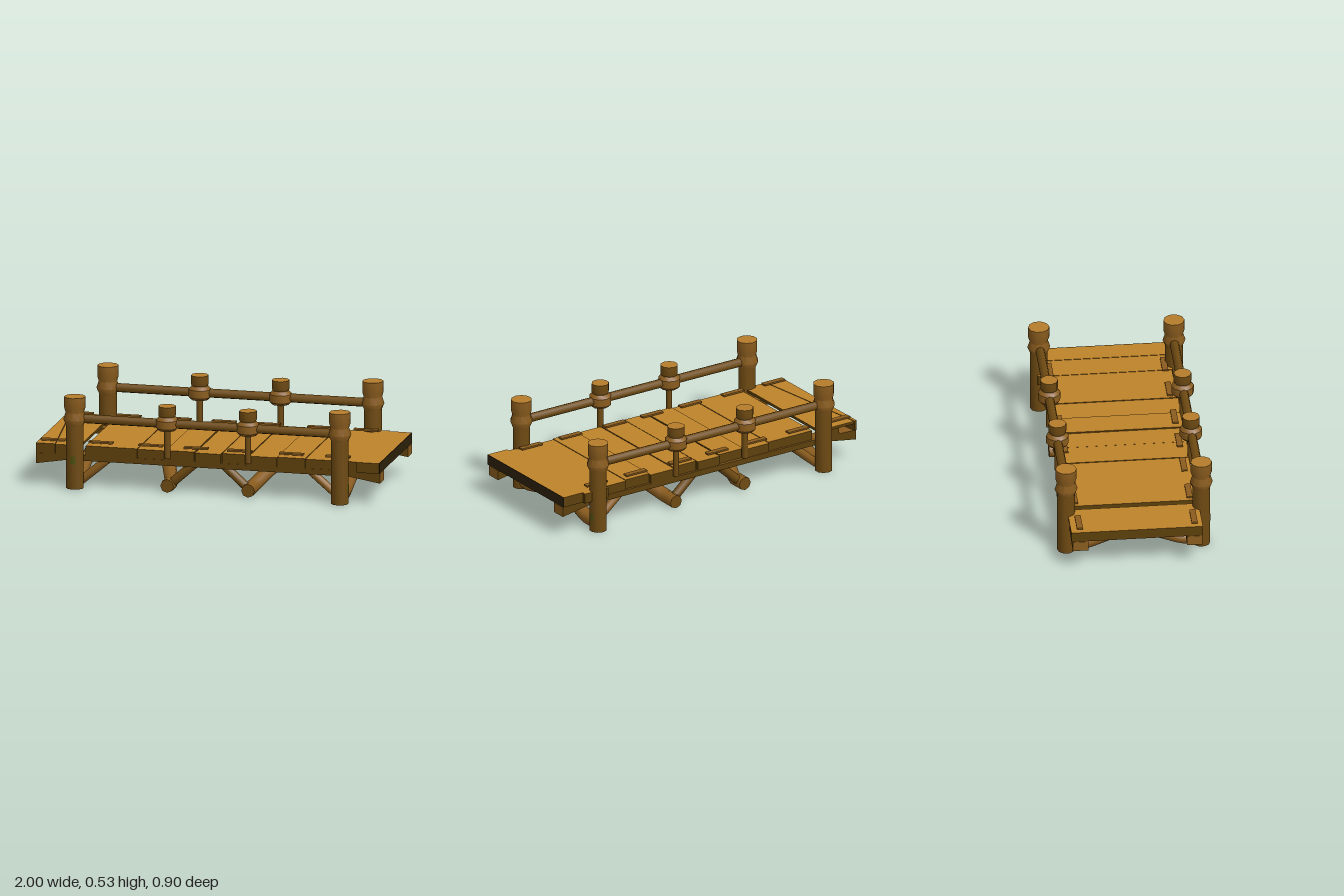
import * as THREE from 'three';
import { toCreasedNormals } from 'three/addons/utils/BufferGeometryUtils.js';

const paint = (name, color) => {
  const m = new THREE.MeshStandardMaterial({ color });
  m.name = name;
  return m;
};
const V = (x, y, z) => new THREE.Vector3(x, y, z);

export function createModel() {
  const root = new THREE.Group();
  root.name = 'woodenBridge';
  const plankTop = paint('plank top', 0xbe8329);
  const edge = paint('plank edge', 0x5e400c);
  const dark = paint('dark end grain', 0x2e210a);
  const bark = paint('bark', 0x6e4a12);
  const log = paint('log', 0x8a5c1e);
  const cut = paint('cut wood', 0xb67d2c);
  const moss = paint('moss', 0x50500e);

  const add = (name, geo, mat, x = 0, y = 0, z = 0) => {
    const m = new THREE.Mesh(geo, mat);
    m.name = name;
    m.position.set(x, y, z);
    root.add(m);
    return m;
  };
  // Straight round rod between two points
  const rod = (name, a, b, r, mat) => {
    const d = b.clone().sub(a);
    const g = toCreasedNormals(new THREE.CylinderGeometry(r, r, d.length(), 8), 0.9);
    const m = add(name, g, mat);
    m.position.copy(a).add(b).multiplyScalar(0.5);
    m.quaternion.setFromUnitVectors(V(0, 1, 0), d.normalize());
  };
  // Turned post section from [radius, height] pairs, closed by a cut-wood cap
  const turned = (name, profile, x, z, mat, capMat) => {
    const pts = profile.map(([r, y]) => new THREE.Vector2(r, y));
    add(name, toCreasedNormals(new THREE.LatheGeometry(pts, 10), 0.7), mat, x, 0, z);
    const [r, top] = profile[profile.length - 1];
    add(name + 'Cap', new THREE.CircleGeometry(r, 10).rotateX(-Math.PI / 2).rotateY(Math.PI / 2), capMat, x, top, z);
  };
  // Prism standing on a ground outline of [x, z] corners; top in the plank colour
  const slab = (name, outline, y, h) => {
    const s = new THREE.Shape(outline.map(([x, z]) => new THREE.Vector2(x, -z)));
    const g = new THREE.ExtrudeGeometry(s, { depth: h, bevelEnabled: false });
    add(name, g.rotateX(-Math.PI / 2), [plankTop, edge], 0, y, 0);
  };

  // Deck planks: x start, x end, z back, z front, top height
  const planks = [
    [-0.71, -0.412, -0.355, 0.37, 0.243], [-0.411, -0.246, -0.365, 0.365, 0.24],
    [-0.245, -0.08, -0.35, 0.37, 0.244], [-0.074, 0.074, -0.365, 0.375, 0.241],
    [0.081, 0.239, -0.355, 0.365, 0.245], [0.24, 0.4, -0.37, 0.37, 0.24],
    [0.401, 0.564, -0.355, 0.37, 0.244], [0.565, 0.704, -0.365, 0.365, 0.241],
    [0.705, 0.866, -0.395, 0.37, 0.243], [0.867, 0.996, -0.375, 0.385, 0.245],
  ];
  for (const [x0, x1, z0, z1, top] of planks) {
    const bottom = 0.185;
    const g = new THREE.BoxGeometry(x1 - x0, top - bottom, z1 - z0);
    add('plank', g, [edge, edge, plankTop, plankTop, edge, edge],
      (x0 + x1) / 2, (top + bottom) / 2, (z0 + z1) / 2);
  }
  add('darkPlankEnd', new THREE.BoxGeometry(0.004, 0.06, 0.76), dark, 0.998, 0.215, 0.005);

  // Split plank at the far end, thin on its inner side
  slab('splitPlankOuter', [[-1, 0.37], [-0.888, 0.37], [-0.985, -0.375], [-1, -0.375]], 0.185, 0.059);
  slab('splitPlankInner', [[-0.886, 0.37], [-0.745, 0.37], [-0.745, -0.375], [-0.983, -0.375]], 0.226, 0.016);

  // Boards under the deck
  for (const x of [-0.33, 0.48])
    add('crossBoard', new THREE.BoxGeometry(0.13, 0.025, 0.58), cut, x, 0.1725, 0);

  for (const s of [-1, 1]) {
    // Long side beam with drooping ends
    const outline = [[-1, 0.125], [-0.82, 0.155], [0.82, 0.155], [1, 0.125],
      [1, 0.183], [0.82, 0.188], [-0.82, 0.188], [-1, 0.183]];
    const beam = new THREE.Shape(outline.map(([x, y]) => new THREE.Vector2(x, y)));
    add('sideBeam', new THREE.ExtrudeGeometry(beam, { depth: 0.088, bevelEnabled: false }),
      [edge, log], 0, 0, s * 0.324 - 0.044);
    add('splitPlankLip', new THREE.BoxGeometry(0.14, 0.042, 0.012), edge, -0.816, 0.207, s * 0.362);
    // Narrow slats joining the ends of the planks
    for (const x of [-0.91, -0.632, -0.342, -0.08, 0.175, 0.475, 0.745])
      add('deckSlat', new THREE.BoxGeometry(0.14, 0.009, 0.034), log, x, 0.2575, s * 0.325);
    rod('handRail', V(-0.77, 0.403, s * 0.38), V(0.77, 0.403, s * 0.38), 0.026, bark);

    for (const t of [-1, 1]) {
      // Corner post with a thicker head
      const px = t * 0.77, pz = s * 0.383;
      turned('cornerPost', [[0, 0], [0.05, 0], [0.05, 0.365]], px, pz, bark, bark);
      turned('cornerPostHead', [[0.05, 0.365], [0.065, 0.4], [0.052, 0.44], [0.06, 0.465], [0.06, 0.53]],
        px, pz, log, cut);
      // Railing post with a collar round the rail
      const rx = t * 0.235, rz = s * 0.378;
      turned('railPost', [[0.018, 0.2], [0.018, 0.365]], rx, rz, bark, bark);
      turned('railCollar', [[0, 0.365], [0.05, 0.365], [0.064, 0.38], [0.064, 0.425], [0.046, 0.445]],
        rx, rz, log, log);
      turned('railPostTop', [[0.046, 0.445], [0.05, 0.455], [0.05, 0.505]], rx, rz, bark, cut);
      // Slanting braces
      const z = s * 0.335;
      rod('endBrace', V(t * 0.75, 0.03, z), V(t * 0.59, 0.165, z), 0.024, log);
      rod('middleBrace', V(t * 0.235, 0.035, z), V(t * 0.09, 0.165, z), 0.026, bark);
    }
  }

  // Arched logs crossing beneath the deck; the middle pair leans outward
  for (const [x, lean] of [[-0.77, 0], [-0.235, -0.075], [0.235, 0.075], [0.77, 0]]) {
    const points = [[-0.38, 0.04, 0], [-0.27, 0.042, 0], [-0.1, 0.105, 0.8], [0, 0.12, 1],
      [0.1, 0.105, 0.8], [0.27, 0.042, 0], [0.38, 0.04, 0]].map(([z, y, k]) => V(x + k * lean, y, z));
    const path = new THREE.CatmullRomCurve3(points, false, 'catmullrom', 0.12);
    add('archedLog', toCreasedNormals(new THREE.TubeGeometry(path, 24, 0.039, 8), 0.9), log);
    for (const s of [-1, 1])
      add('archedLogEnd', new THREE.CircleGeometry(0.039, 8).rotateY(s > 0 ? 0 : Math.PI), bark, x, 0.04, s * 0.38);
  }

  // Moss patches on the posts
  for (const [x, y, z, angle] of [[-0.77, 0.17, 0.383, -0.3], [0.77, 0.09, 0.383, 1.2], [0.77, 0.09, -0.383, 1.4]])
    add('mossPatch', new THREE.CylinderGeometry(0.0515, 0.0515, 0.045, 4, 1, true, angle, 0.6), moss, x, y, z);

  return root;
}
